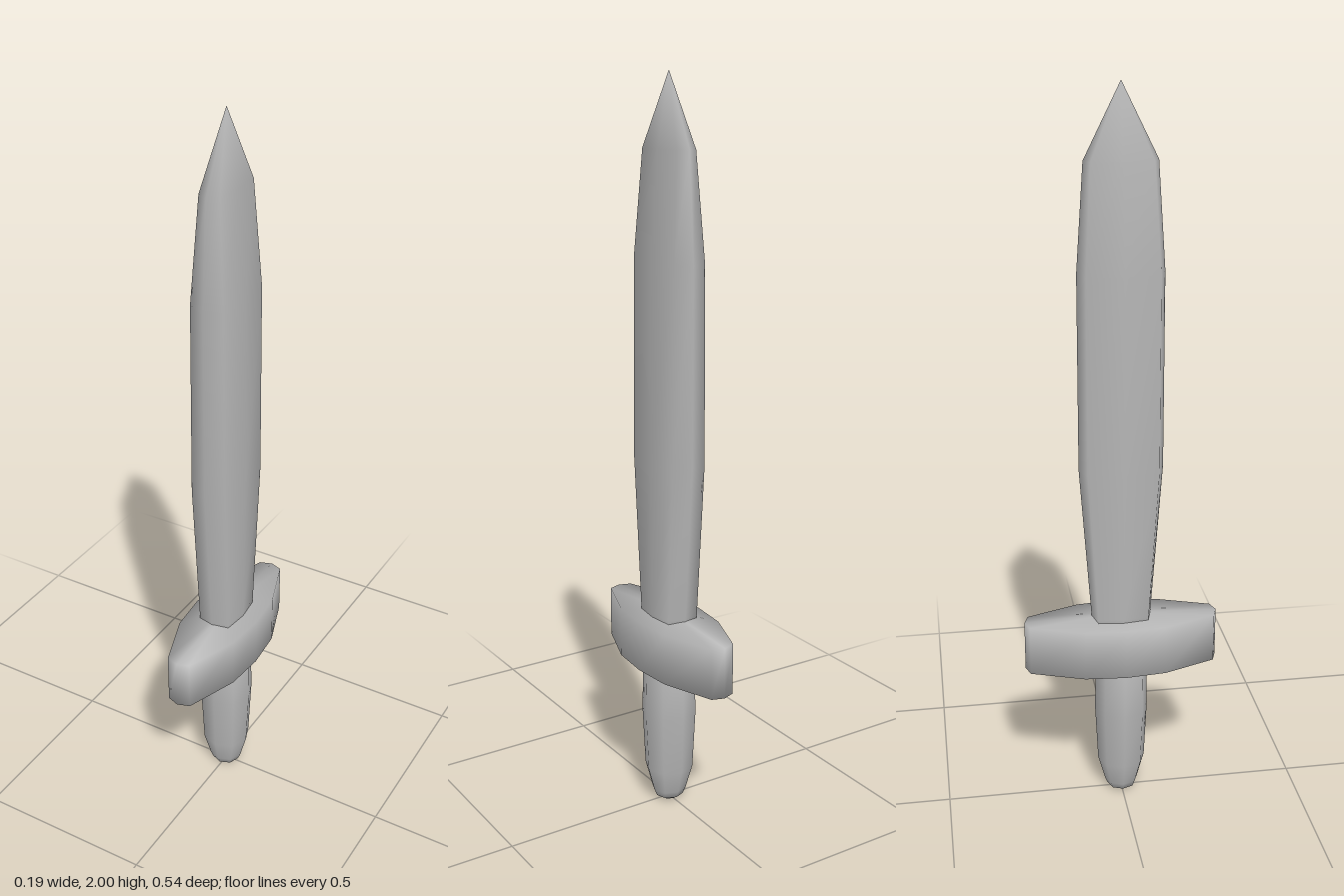
import * as THREE from 'three';

// Mirror a quarter outline [x, z] (from +x axis to +z axis) into a full eight-sided ring.
function fullRing(quarter) {
  const [side, corner, end] = quarter;
  const [sx] = side, [cx, cz] = corner, [, ez] = end;
  return [[sx, 0], [cx, cz], [0, ez], [-cx, cz], [-sx, 0], [-cx, -cz], [0, -ez], [cx, -cz]];
}

// Smooth skin through levels { y, ring }, closed by a point at each end.
function loft(levels, bottomY, topY) {
  const n = 8, pos = [], idx = [];
  for (const { y, ring } of levels) for (const [x, z] of ring) pos.push(x, y, z);
  const bottom = levels.length * n, top = bottom + 1;
  pos.push(0, bottomY, 0, 0, topY, 0);
  for (let i = 0; i < n; i++) {
    const j = (i + 1) % n;
    for (let l = 0; l < levels.length - 1; l++) {
      const a = l * n + i, b = l * n + j;
      idx.push(a, a + n, b, b, a + n, b + n);
    }
    const last = (levels.length - 1) * n;
    idx.push(bottom, i, j, top, last + j, last + i);
  }
  const g = new THREE.BufferGeometry();
  g.setAttribute('position', new THREE.Float32BufferAttribute(pos, 3));
  g.setIndex(idx);
  g.computeVertexNormals();
  return g;
}

export function createModel() {
  const group = new THREE.Group();
  const gray = new THREE.MeshStandardMaterial({ color: 0xb4b4b4 });
  gray.name = 'plain gray';
  const add = (name, geometry) => {
    const mesh = new THREE.Mesh(geometry, gray);
    mesh.name = name;
    group.add(mesh);
  };

  // Blade: [y, half thickness in x, half width in z], broad faces towards +x and -x
  const blade = [[0.5, 0.053, 0.078], [0.57, 0.054, 0.083], [1.0, 0.059, 0.114],
    [1.53, 0.055, 0.114], [1.81, 0.034, 0.095]];
  add('blade', loft(blade.map(([y, x, z]) => ({
    y, ring: fullRing([[x, 0], [x * 0.85, z * 0.84], [0, z]]),
  })), 0.5, 2));

  // Crossguard: long tapered slab along z with blunt tips
  const half = [[0.097, 0], [0.087, 0.113], [0.034, 0.258], [0, 0.27]];
  const guardShape = new THREE.Shape();
  const outline = [
    ...half,
    ...half.slice(0, 3).reverse().map(([x, z]) => [-x, z]),
    ...half.slice(1).map(([x, z]) => [-x, -z]),
    ...half.slice(1, 3).reverse().map(([x, z]) => [x, -z]),
  ];
  guardShape.setFromPoints(outline.map(([x, z]) => new THREE.Vector2(x, z)));
  add('crossguard', guardGeometry(outline));

  // Grip: tapered round handle with a rounded end
  const grip = [[0.01, 0.04], [0.03, 0.048], [0.1, 0.067], [0.27, 0.075], [0.45, 0.071]];
  add('grip', loft(grip.map(([y, r]) => ({
    y, ring: fullRing([[r, 0], [r * 0.72, r * 0.72], [0, r]]),
  })), 0.004, 0.45));
  // Pommel tip
  const cap = new THREE.CylinderGeometry(0.036, 0.025, 0.01, 8);
  cap.translate(0, 0.005, 0);
  add('pommelTip', cap);
  return group;
}

// Slab from a plan outline, slightly raised in the middle of the top, with shared smooth normals
function guardGeometry(outline) {
  const n = outline.length, pos = [], idx = [];
  for (const y of [0.413, 0.555]) for (const [x, z] of outline) pos.push(x, y, z);
  pos.push(0, 0.413, 0, 0, 0.567, 0);
  for (let i = 0; i < n; i++) {
    const j = (i + 1) % n;
    idx.push(i, i + n, j, j, i + n, j + n, 2 * n, i, j, 2 * n + 1, n + j, n + i);
  }
  const g = new THREE.BufferGeometry();
  g.setAttribute('position', new THREE.Float32BufferAttribute(pos, 3));
  g.setIndex(idx);
  g.computeVertexNormals();
  return g;
}
